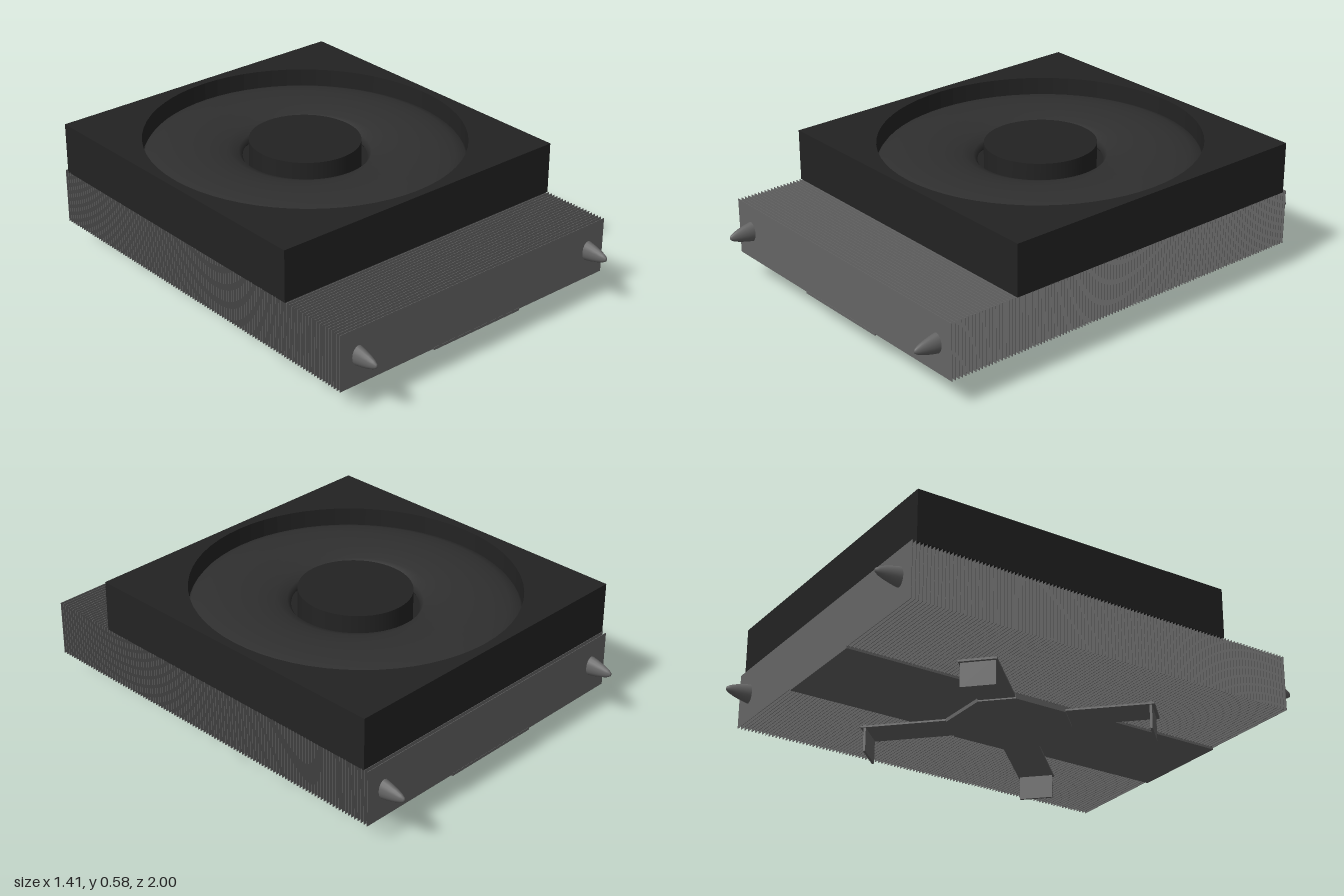
import * as THREE from 'three';

const paint = (color) => new THREE.MeshStandardMaterial({ color });

export function createModel() {
  const model = new THREE.Group();
  const dark = paint(0x232323);
  const rotorGrey = paint(0x2f2f2f);
  const metal = paint(0x656565);

  const add = (name, geometry, material, x = 0, y = 0, z = 0, parent = model) => {
    const mesh = new THREE.Mesh(geometry, material);
    mesh.name = name;
    mesh.position.set(x, y, z);
    parent.add(mesh);
    return mesh;
  };

  // Fan: square frame with a round opening, rounded rotor ring and raised hub
  const fan = new THREE.Group();
  fan.name = 'fan';
  fan.position.set(0, 0.362, -0.148);
  model.add(fan);

  const frame = new THREE.Shape();
  frame.moveTo(-0.707, -0.727);
  frame.lineTo(0.707, -0.727);
  frame.lineTo(0.707, 0.727);
  frame.lineTo(-0.707, 0.727);
  frame.closePath();
  const opening = new THREE.Path();
  opening.absellipse(0, 0, 0.669, 0.688, 0, Math.PI * 2, true);
  frame.holes.push(opening);
  const frameGeo = new THREE.ExtrudeGeometry(frame, { depth: 0.223, bevelEnabled: false, curveSegments: 32 });
  frameGeo.rotateX(-Math.PI / 2);
  add('fanFrame', frameGeo, dark, 0, 0, 0, fan);
  add('fanBottom', new THREE.BoxGeometry(1.41, 0.01, 1.45), dark, 0, 0.006, 0, fan);

  const ringGeo = new THREE.TorusGeometry(0.466, 0.208, 16, 64);
  ringGeo.rotateX(Math.PI / 2);
  ringGeo.scale(1, 0.27, 1.03);
  add('fanRotor', ringGeo, rotorGrey, 0, 0.128, 0, fan);
  const hub = add('fanHub', new THREE.CylinderGeometry(0.232, 0.232, 0.195, 48), dark, 0, 0.105, 0, fan);
  hub.scale.z = 1.03;

  // Dense stack of very thin cooling fins
  const fins = new THREE.Group();
  fins.name = 'coolingFins';
  model.add(fins);
  const finGeo = new THREE.BoxGeometry(1.414, 0.244, 0.002);
  const finCount = 112;
  for (let i = 0; i < finCount; i++) {
    add('fin', finGeo, metal, 0, 0.242, -0.893 + (1.786 * i) / (finCount - 1), fins);
  }

  // Stretched heat pipes with pointed ends, one on each side
  const pipeGeo = new THREE.SphereGeometry(1, 16, 32);
  pipeGeo.rotateX(Math.PI / 2);
  pipeGeo.scale(0.066, 0.096, 1);
  for (const side of [-1, 1]) add('heatPipe', pipeGeo, metal, side * 0.618, 0.246, 0);

  // Long contact strip under the fins
  add('baseStrip', new THREE.BoxGeometry(0.462, 0.012, 1.79), metal, 0, 0.119, 0);

  // Mounting bracket: plate with cut corners, four diagonal arms and feet
  const bracket = new THREE.Group();
  bracket.name = 'mountingBracket';
  model.add(bracket);
  const a = 0.232, b = 0.122;
  const plate = new THREE.Shape([
    [a, -b], [a, b], [b, a], [-b, a], [-a, b], [-a, -b], [-b, -a], [b, -a],
  ].map(([x, y]) => new THREE.Vector2(x, y)));
  const plateGeo = new THREE.ExtrudeGeometry(plate, { depth: 0.018, bevelEnabled: false });
  plateGeo.rotateX(-Math.PI / 2);
  add('bracketPlate', plateGeo, metal, 0, 0.097, 0, bracket);

  const armGeo = new THREE.BoxGeometry(0.38, 0.008, 0.155);
  const footGeo = new THREE.BoxGeometry(0.01, 0.118, 0.143);
  for (let i = 0; i < 4; i++) {
    const leg = new THREE.Group();
    leg.name = 'bracketLeg';
    leg.rotation.y = Math.PI / 4 + (i * Math.PI) / 2;
    add('arm', armGeo, metal, 0.425, 0.107, 0, leg);
    add('foot', footGeo, metal, 0.598, 0.059, 0, leg);
    bracket.add(leg);
  }

  return model;
}
